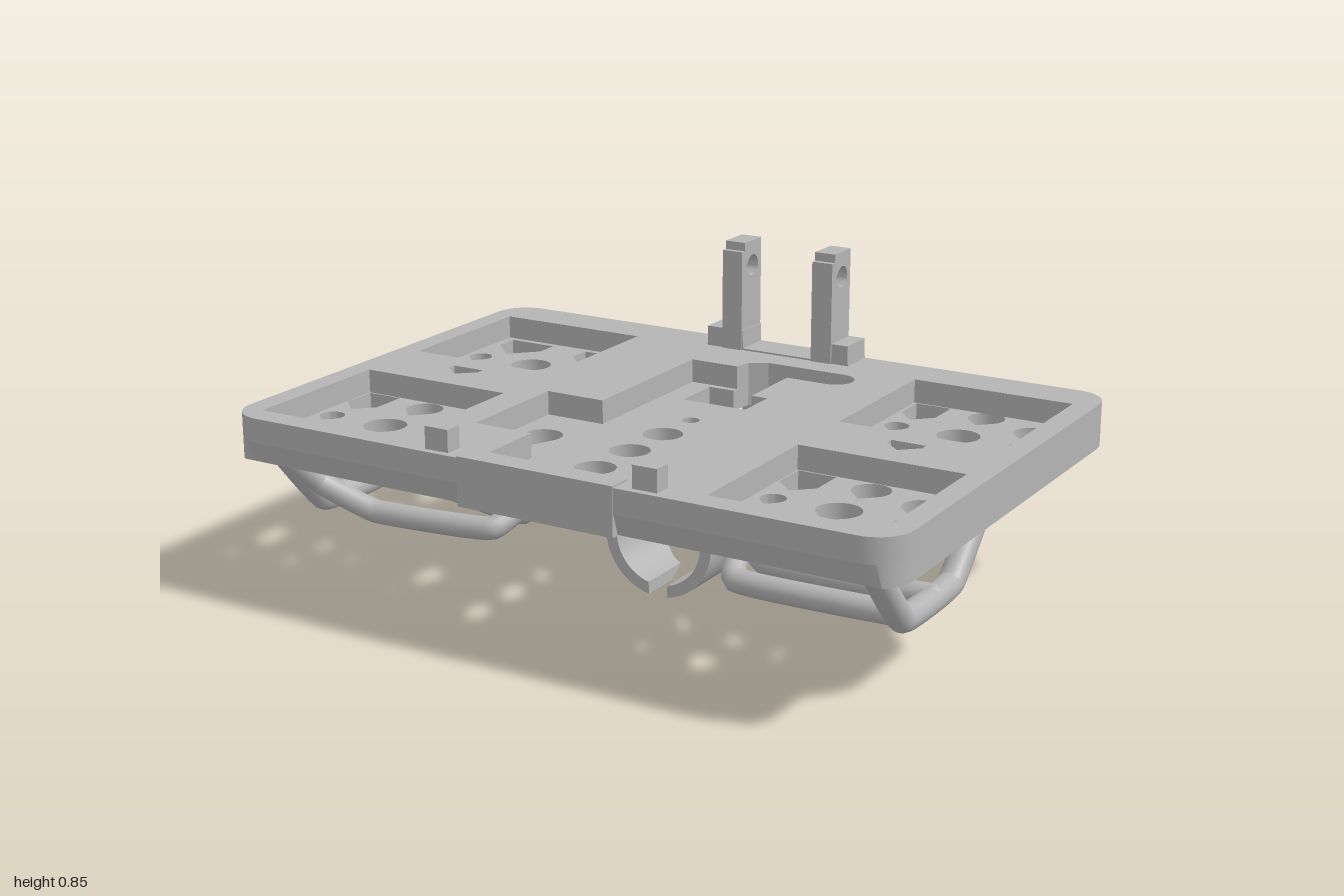
import * as THREE from 'three';
import { toCreasedNormals } from 'three/addons/utils/BufferGeometryUtils.js';

const grey = new THREE.MeshStandardMaterial({ color: 0xb4b4b4 });
grey.name = 'grey plastic';

const path = (pts, Type = THREE.Path) => new Type(pts.map(([a, b]) => new THREE.Vector2(a, b)));

// Arc points in the plan, angles in degrees
function arc(cx, cz, r, from, to, n = 16) {
  return Array.from({ length: n + 1 }, (_, i) => {
    const a = THREE.MathUtils.degToRad(from + ((to - from) * i) / n);
    return [cx + r * Math.cos(a), cz + r * Math.sin(a)];
  });
}
const rect = (x0, x1, z0, z1) => [[x0, z0], [x1, z0], [x1, z1], [x0, z1]];
const circle = (x, z, r) => arc(x, z, r, 0, 345, 23);
// Round hole with a point towards `dir`
function teardrop(x, z, r, dir = 90) {
  const a = THREE.MathUtils.degToRad(dir);
  return [...arc(x, z, r, dir + 45, dir + 315, 20),
    [x + r * 1.41 * Math.cos(a), z + r * 1.41 * Math.sin(a)]];
}
// Square-topped hole with a point towards +z
const house = (x0, x1, z0, z1, z2) => [[x0, z0], [x1, z0], [x1, z1], [(x0 + x1) / 2, z2], [x0, z1]];

// Horizontal slab from plan outlines given as x, z
function slab(outline, holes, y0, y1) {
  const flip = (pts) => pts.map(([x, z]) => [x, -z]).reverse();
  const shape = path(flip(outline), THREE.Shape);
  shape.holes = holes.map((h) => path(flip(h)));
  const g = new THREE.ExtrudeGeometry(shape, { depth: y1 - y0, bevelEnabled: false });
  return g.rotateX(-Math.PI / 2).translate(0, y0, 0);
}

export function createModel() {
  const model = new THREE.Group();
  const add = (name, geometry) => {
    const m = new THREE.Mesh(geometry, grey);
    m.name = name;
    model.add(m);
  };
  const box = (name, x0, x1, y0, y1, z0, z1) => add(name,
    new THREE.BoxGeometry(x1 - x0, y1 - y0, z1 - z0)
      .translate((x0 + x1) / 2, (y0 + y1) / 2, (z0 + z1) / 2));
  const smooth = (g) => toCreasedNormals(g, 0.5);

  // Rounded plate outline
  const outline = [
    ...arc(0.9, 0.592, 0.1, 0, 90, 10), ...arc(-0.9, 0.592, 0.1, 90, 180, 10),
    ...arc(-0.9, -0.595, 0.1, 180, 270, 10), ...arc(0.9, -0.595, 0.1, 270, 360, 10),
  ];
  const slotEnd = arc(0.265, -0.445, 0.055, 90, -90, 12);

  // Upper layer: four pockets and the stepped centre channel
  const channel = [
    [-0.19, 0.62], [0.19, 0.62], [0.19, -0.18], [0.14, -0.18], [0.14, -0.39],
    ...slotEnd, [0.02, -0.5], [-0.03, -0.47], [-0.04, -0.42], [-0.19, -0.42],
    [-0.19, 0.07], [-0.37, 0.07], [-0.37, 0.42], [-0.19, 0.42],
  ];
  const pockets = [];
  for (const [x0, x1] of [[-0.935, -0.465], [0.46, 0.935]])
    for (const [z0, z1] of [[-0.56, -0.085], [0.15, 0.62]]) pockets.push(rect(x0, x1, z0, z1));
  const bars = [-0.7, 0.7].map((x) => [[x - 0.05, -0.01], [x + 0.05, -0.01], [x + 0.05, 0.015], [x, 0.06], [x - 0.05, 0.015]]);
  add('plateTop', smooth(slab(outline, [...pockets, channel, ...bars], 0.465, 0.533)));

  // Lower layer: perforated floor
  const holes = [
    [[-0.12, -0.25], [0.14, -0.25], [0.14, -0.39], ...slotEnd, [0.02, -0.5], [-0.03, -0.47],
      [-0.04, -0.4], [-0.12, -0.4]],
    [...arc(-0.275, 0.24, 0.055, 165, 375, 14), [-0.25, 0.32], [-0.28, 0.4], [-0.33, 0.41]],
    ...bars,
    house(-0.91, -0.76, -0.54, -0.47, -0.395), house(-0.64, -0.49, -0.54, -0.47, -0.395),
    house(-0.575, -0.467, -0.235, -0.14, -0.09), house(0.47, 0.575, -0.555, -0.455, -0.4),
    house(0.49, 0.64, -0.235, -0.195, -0.125), house(0.76, 0.91, -0.235, -0.195, -0.125),
    house(-0.93, -0.825, 0.155, 0.26, 0.31), house(0.465, 0.575, 0.155, 0.26, 0.31),
    teardrop(-0.865, -0.195, 0.053), teardrop(-0.7, -0.13, 0.052, -90),
    teardrop(0.7, -0.52, 0.052), teardrop(0.865, -0.455, 0.053),
    teardrop(-0.7, 0.205, 0.053), teardrop(-0.53, 0.255, 0.053),
    teardrop(0.7, 0.205, 0.053), teardrop(0.865, 0.255, 0.053),
  ];
  for (const z of [-0.33, 0.385])
    for (const s of [-1, 1]) {
      holes.push(teardrop(s * 0.7, z, 0.06));
      for (const x of [0.515, 0.885]) holes.push(teardrop(s * x, z, 0.035));
    }
  for (const [z, r] of [[-0.085, 0.025], [0.065, 0.056], [0.235, 0.056], [0.405, 0.056], [0.535, 0.025]])
    holes.push(circle(0, z, r));
  const floor = slab(outline, holes, 0.405, 0.465);
  // Undercut along the lower front edge
  const p = floor.attributes.position;
  for (let i = 0; i < p.count; i++)
    if (p.getY(i) < 0.41 && p.getZ(i) > 0.672) p.setZ(i, 0.672);
  add('plateFloor', smooth(floor));

  box('frontBlock', -0.235, 0.235, 0.403, 0.538, 0.625, 0.695);
  box('rearBlock', -0.235, 0.235, 0.403, 0.538, -0.695, -0.585);

  // Rear posts with cross holes, and front stop tabs
  for (const s of [-1, 1]) {
    const shape = path([[0.58, 0.53], [0.695, 0.53], [0.695, 0.855], [0.597, 0.855],
      [0.597, 0.83], [0.58, 0.83]], THREE.Shape);
    shape.holes = [path(teardrop(0.645, 0.78, 0.032, 180))];
    const post = new THREE.ExtrudeGeometry(shape, { depth: 0.065, bevelEnabled: false });
    // The profile is drawn towards the back, so turn it a quarter about y
    add('rearPost', smooth(post.rotateY(Math.PI / 2).translate(s * 0.148 - 0.0325, 0, 0)));
    box('postFoot', s * 0.173 - 0.06, s * 0.173 + 0.06, 0.53, 0.592, -0.695, -0.585);
    box('frontTab', s * 0.313 - 0.036, s * 0.313 + 0.036, 0.52, 0.595, 0.62, 0.672);
  }

  // Split rings with the gap at the bottom
  const ring = (z0, z1) => new THREE.ExtrudeGeometry(
    path([...arc(0, 0.168, 0.168, -80, 260, 64), ...arc(0, 0.168, 0.134, 257, -77, 64)], THREE.Shape),
    { depth: z1 - z0, bevelEnabled: false }).translate(0, 0, z0);
  add('rearRing', smooth(ring(-0.695, -0.578)));
  // The middle ring has a slanting cut at its lower back
  const sleeve = ring(-0.25, 0.092);
  const q = sleeve.attributes.position;
  for (let i = 0; i < q.count; i++)
    if (q.getZ(i) < 0) q.setZ(i, -0.03 - 0.22 * Math.pow(Math.min(q.getY(i) / 0.2, 1), 0.85));
  add('middleRing', smooth(sleeve));

  // Necks joining the rings to the plate
  const neck = (name, top, z0, z1) => add(name, new THREE.ExtrudeGeometry(
    path([[-0.1, 0.295], [0.1, 0.295], [0.11, 0.36], [0.125, 0.385], [top, 0.41],
      [-top, 0.41], [-0.125, 0.385], [-0.11, 0.36]], THREE.Shape),
    { depth: z1 - z0, bevelEnabled: false }).translate(0, 0, z0));
  neck('rearNeck', 0.2, -0.695, -0.578);
  neck('middleNeck', 0.13, -0.25, 0.06);
  add('neckPin', new THREE.CylinderGeometry(0.053, 0.053, 0.08, 32).translate(0, 0.365, 0.02));

  // Guide walls around the centre opening and the beam to the rear ring
  box('guideWallRight', -0.18, -0.125, 0.197, 0.41, -0.465, -0.24);
  box('guideWallLeft', 0.14, 0.165, 0.28, 0.41, -0.39, -0.2);
  box('rearBeam', -0.04, 0.12, 0.265, 0.365, -0.58, -0.41);

  // Tubes under the plate: bends stay tight
  const tube = (name, pts, r = 0.033) => {
    const curve = new THREE.CatmullRomCurve3(pts.map((v) => new THREE.Vector3(...v)), false, 'catmullrom', 0.15);
    add(name, new THREE.TubeGeometry(curve, 80, r, 14));
    for (const v of [pts[0], pts[pts.length - 1]])
      add(name + 'End', new THREE.SphereGeometry(r, 14, 10).translate(...v));
  };
  for (const s of [-1, 1])
    for (const [z0, z1, z2, z3, z4] of [[-0.12, 0, 0.19, 0.01, -0.12], [-0.01, 0.12, 0.34, 0.44, 0.55]]) {
      const tail = s > 0
        ? [[0.7, 0.208, z2 + 0.01], [0.87, 0.208, z2]]
        : [[-0.74, 0.208, (z2 + z3) / 2], [-0.89, 0.28, z3], [-0.955, 0.41, z4]];
      tube('underTube', [[s * 0.09, 0.35, z0], [s * 0.3, 0.32, z1], [s * 0.38, 0.208, z2], ...tail]);
    }
  for (const x of [-0.94, 0.872])
    tube('sideHandle', [[x, 0.415, 0.56], [x, 0.208, 0.37], [x, 0.208, 0.08], [x, 0.415, -0.13]], 0.036);
  tube('tiltedStrut', [[0.745, 0.415, -0.06], [0.71, 0.215, 0.16]], 0.036);

  return model;
}
